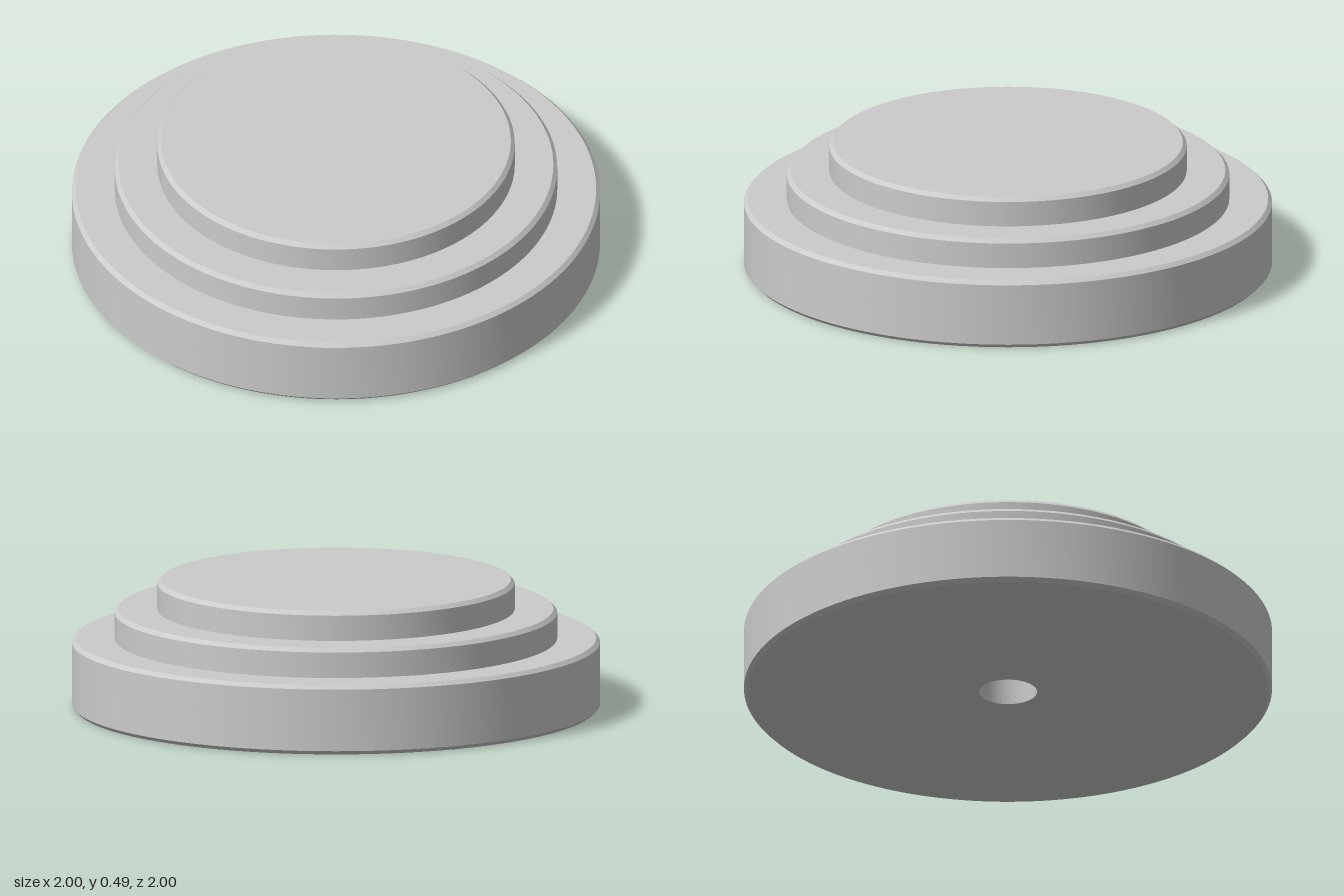
import * as THREE from 'three';
import { toCreasedNormals } from 'three/addons/utils/BufferGeometryUtils.js';

const BEVEL = 0.015;
const HOLE = { radius: 0.11, depth: 0.27 };
// Tiers from the ground up: outer radius and top height
const TIERS = [
  { radius: 1.0, top: 0.267 },
  { radius: 0.838, top: 0.38 },
  { radius: 0.677, top: 0.492 },
];

export function createModel() {
  const group = new THREE.Group();
  group.name = 'steppedPlinth';

  // Blind hole in the underside, then the bevelled bottom edge
  const profile = [
    [0, HOLE.depth],
    [HOLE.radius, HOLE.depth],
    [HOLE.radius, 0],
    [TIERS[0].radius - BEVEL, 0],
    [TIERS[0].radius, BEVEL],
  ];

  // Each tier: upright wall, bevelled top edge, flat ledge to the next tier
  TIERS.forEach(({ radius, top }, i) => {
    profile.push([radius, top - BEVEL], [radius - BEVEL, top]);
    const next = TIERS[i + 1];
    profile.push([next ? next.radius : 0, top]);
  });

  const points = profile.map(([r, y]) => new THREE.Vector2(r, y));
  const geometry = toCreasedNormals(new THREE.LatheGeometry(points, 128), 0.5);
  const body = new THREE.Mesh(geometry, new THREE.MeshStandardMaterial({ color: 0xcccccc }));
  body.name = 'tieredBody';
  group.add(body);

  return group;
}
